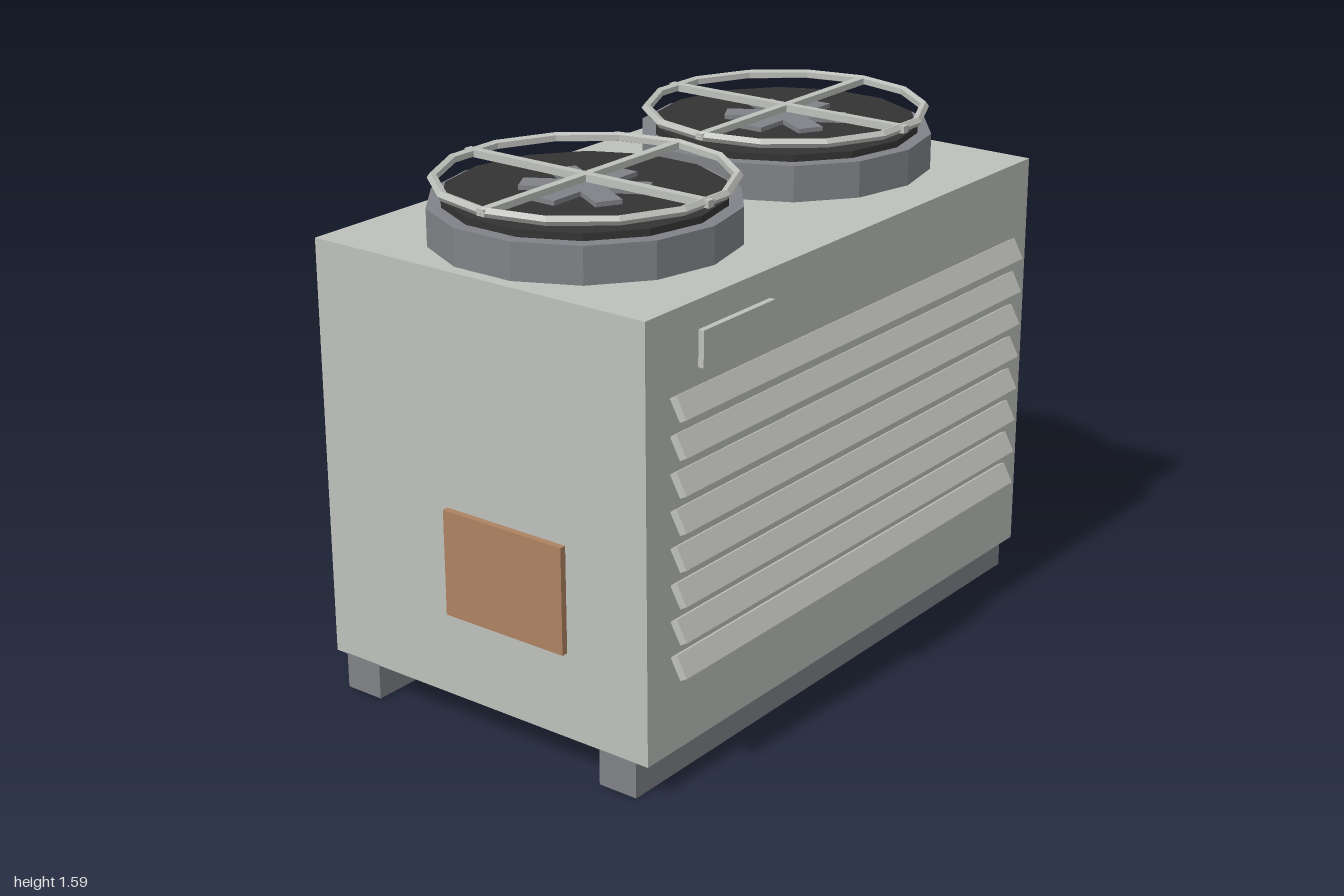
import * as THREE from 'three';

const material = (name, color) => {
  const m = new THREE.MeshStandardMaterial({ color });
  m.name = name;
  return m;
};

export function createModel() {
  const model = new THREE.Group();
  model.name = 'airConditioner';
  const paint = material('paleGreyPaint', 0xbec0bb);
  const steel = material('midGreySteel', 0x808287);
  const dark = material('darkOpening', 0x333333);
  const copper = material('copperPanel', 0xae8261);
  const midZ = -0.0075; // the cabinet sits slightly behind centre

  const add = (parent, name, geometry, mat, x, y, z) => {
    const mesh = new THREE.Mesh(geometry, mat);
    mesh.name = name;
    mesh.position.set(x, y, z);
    parent.add(mesh);
    return mesh;
  };
  const box = (parent, name, mat, w, h, d, x, y, z) =>
    add(parent, name, new THREE.BoxGeometry(w, h, d), mat, x, y, z);
  // Faceted cylinder, non-indexed so each side gets its own flat normal
  const drum = (parent, name, mat, radius, height, y) => {
    const g = new THREE.CylinderGeometry(radius, radius, height, 14).toNonIndexed();
    g.computeVertexNormals();
    return add(parent, name, g, mat, 0, y, 0);
  };

  // Cabinet and the two long runners under it
  box(model, 'cabinet', paint, 1.94, 1.295, 1.186, 0, 0.7575, midZ);
  for (const side of [1, -1]) {
    box(model, side > 0 ? 'frontRunner' : 'backRunner', steel,
      1.94, 0.112, 0.13, 0, 0.056, midZ + side * 0.486);
  }

  // Tilted louvres, front and back, lower edges outward
  for (const side of [1, -1]) {
    const louvres = new THREE.Group();
    louvres.name = side > 0 ? 'frontLouvres' : 'backLouvres';
    for (let i = 0; i < 8; i++) {
      const slat = box(louvres, 'louvre', paint, 1.73, 0.07, 0.025,
        0, 0.38 + i * 0.1083, midZ + side * 0.619);
      slat.rotation.x = -side * 0.5;
    }
    model.add(louvres);
  }

  // Blank plate and side access panels
  box(model, 'frontPlate', paint, 0.32, 0.105, 0.018, -0.65, 1.298, 0.645);
  box(model, 'leftAccessPanel', copper, 0.02, 0.325, 0.43, 0.987, 0.868, -0.115);
  box(model, 'rightAccessPanel', copper, 0.02, 0.325, 0.43, -0.99, 0.543, 0.097);

  // Roof fans
  for (const side of [1, -1]) {
    const fan = new THREE.Group();
    fan.name = side > 0 ? 'leftFan' : 'rightFan';
    fan.position.set(side * 0.486, 0, midZ);
    drum(fan, 'shroud', steel, 0.454, 0.112, 1.46);
    drum(fan, 'opening', dark, 0.411, 0.022, 1.526);

    // Three crossing bars make six blades
    for (let i = 0; i < 3; i++) {
      const blade = box(fan, 'blades', steel, 0.37, 0.014, 0.08, 0, 1.549, 0);
      blade.rotation.y = i * Math.PI / 3;
    }

    // Guard ring with a cross
    const ringGeometry = new THREE.TorusGeometry(0.43, 0.015, 5, 14).toNonIndexed();
    ringGeometry.computeVertexNormals();
    add(fan, 'guardRing', ringGeometry, paint, 0, 1.577, 0).rotation.x = Math.PI / 2;
    box(fan, 'guardBarAcross', paint, 0.886, 0.02, 0.027, 0, 1.577, 0);
    box(fan, 'guardBarAlong', paint, 0.027, 0.022, 0.886, 0, 1.577, 0);
    model.add(fan);
  }
  return model;
}
